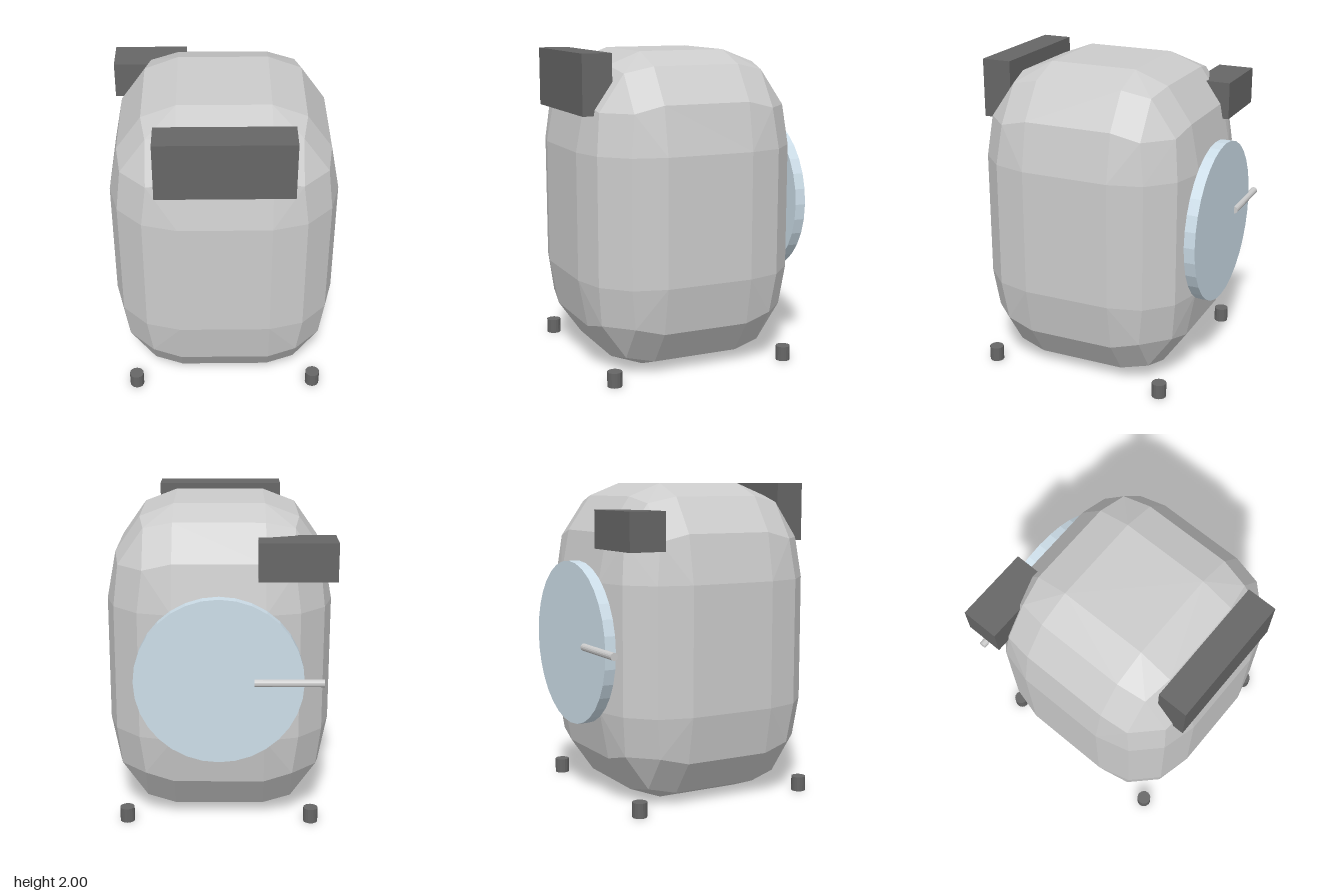
import * as THREE from 'three';
import { ConvexGeometry } from 'three/addons/geometries/ConvexGeometry.js';

const grey = new THREE.MeshStandardMaterial({ color: 0xcccccc, flatShading: true });
const dark = new THREE.MeshStandardMaterial({ color: 0x666666, flatShading: true });
const glass = new THREE.MeshStandardMaterial({ color: 0xccdde8, flatShading: true });

// Box with three-step rounded edges; its corners are stretched sphere octants
function bevelledBox(half, radius) {
  const c = Math.cos(Math.PI / 6);
  const octant = [];
  for (const [a, b, d] of [[1, 0, 0], [c, 0.5, 0], [c, 0, 0.5], [0.8, 0.424, 0.424]]) {
    octant.push([a, b, d], [d, a, b], [b, d, a]);
  }
  const points = [];
  for (const sx of [-1, 1]) for (const sy of [-1, 1]) for (const sz of [-1, 1]) {
    for (const [x, y, z] of octant) {
      points.push(new THREE.Vector3(
        sx * (half.x - radius.x + radius.x * x),
        sy * (half.y - radius.y + radius.y * y),
        sz * (half.z - radius.z + radius.z * z)));
    }
  }
  return new ConvexGeometry(points);
}

export function createModel() {
  const model = new THREE.Group();
  model.name = 'washingMachine';
  const add = (name, geometry, material, x, y, z) => {
    const mesh = new THREE.Mesh(geometry, material);
    mesh.name = name;
    mesh.position.set(x, y, z);
    model.add(mesh);
    return mesh;
  };
  const midZ = 0.045;

  // Rounded cabinet
  const half = new THREE.Vector3(0.705, 1, 0.705);
  add('cabinet', bevelledBox(half, half.clone().multiplyScalar(0.6)), grey, 0, 1, midZ);

  // Control panel and detergent drawer
  add('controlPanel', new THREE.BoxGeometry(0.82, 0.37, 0.19), dark, 0, 1.815, 0.655);
  add('detergentDrawer', new THREE.BoxGeometry(0.47, 0.235, 0.235), dark, -0.47, 1.723, -0.543);

  // Round door with its bar handle
  const door = add('door', new THREE.CylinderGeometry(0.516, 0.516, 0.07, 32), glass, 0, 1.003, -0.695);
  door.rotation.x = Math.PI / 2;
  const handle = add('doorHandle', new THREE.CylinderGeometry(0.0235, 0.0235, 0.42, 16), grey, -0.425, 1.003, -0.73);
  handle.rotation.z = Math.PI / 2;

  // Four feet
  const foot = new THREE.CylinderGeometry(0.046, 0.046, 0.094, 16);
  for (const sx of [-1, 1]) for (const sz of [-1, 1]) {
    add('foot', foot, dark, sx * 0.587, 0.047, midZ + sz * 0.588);
  }
  return model;
}
